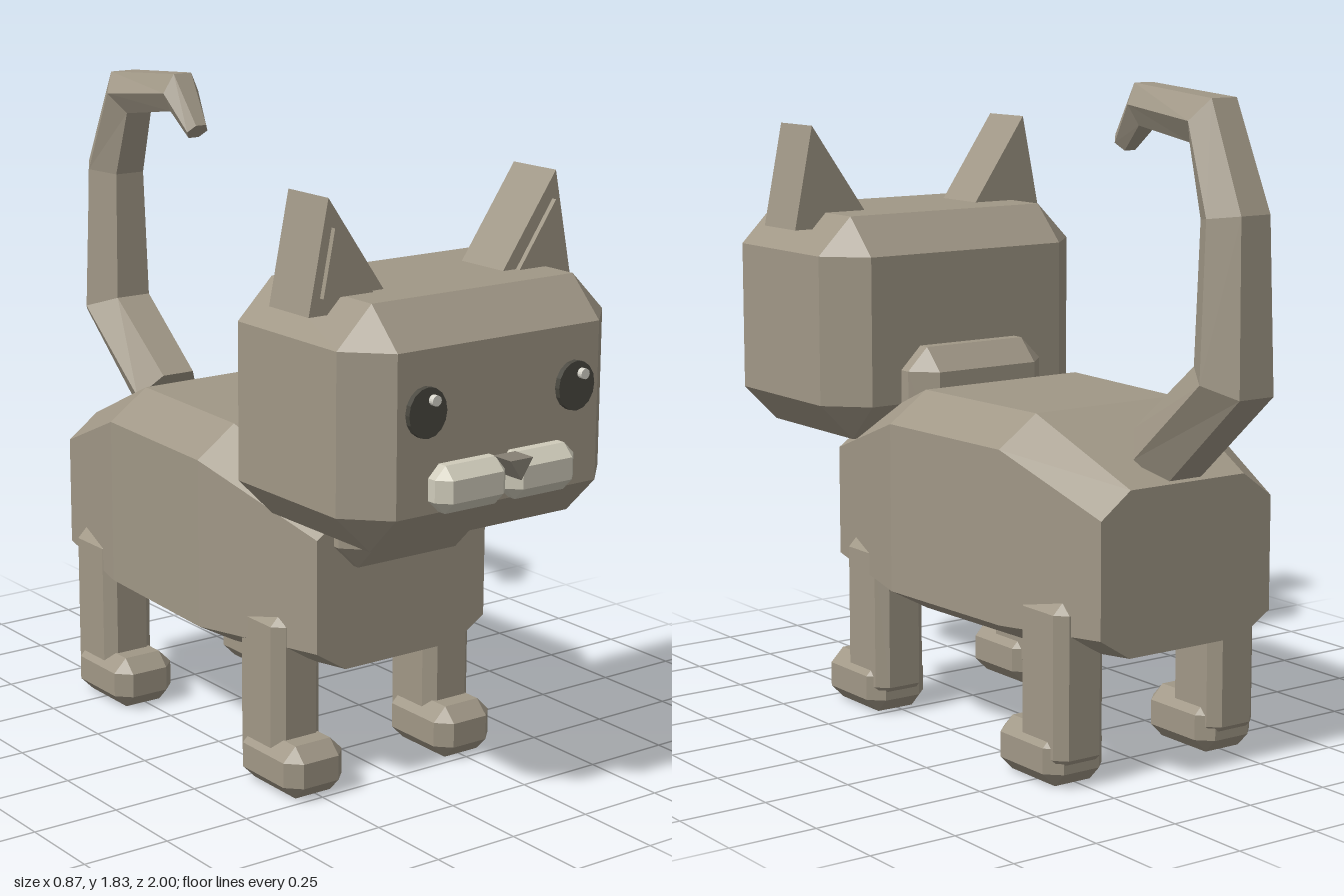
import * as THREE from 'three';
import { ConvexGeometry } from 'three/addons/geometries/ConvexGeometry.js';

const material = (name, color) => new THREE.MeshStandardMaterial({ name, color, flatShading: true });

// Box given by its limits, with all edges and corners cut by c
function chamferBox([x0, x1], [y0, y1], [z0, z1], c) {
  const half = [(x1 - x0) / 2, (y1 - y0) / 2, (z1 - z0) / 2];
  const points = [];
  for (const sx of [-1, 1]) for (const sy of [-1, 1]) for (const sz of [-1, 1]) {
    for (let axis = 0; axis < 3; axis++) {
      const p = half.map((h, i) => (i === axis ? h : h - c));
      points.push(new THREE.Vector3(sx * p[0], sy * p[1], sz * p[2]));
    }
  }
  return new ConvexGeometry(points).translate((x0 + x1) / 2, (y0 + y1) / 2, (z0 + z1) / 2);
}

// Flat polygon in xy, extruded from z0 to z1
function prism(corners, z0, z1) {
  const shape = new THREE.Shape(corners.map(([x, y]) => new THREE.Vector2(x, y)));
  return new THREE.ExtrudeGeometry(shape, { depth: z1 - z0, bevelEnabled: false }).translate(0, 0, z0);
}

// Octagonal sections: z, half width, half width of top and bottom, heights
function bodyGeometry() {
  const sections = [
    [0.52, 0.285, 0.19, 0.36, 0.42, 0.735, 0.8],
    [0.1, 0.38, 0.26, 0.335, 0.4, 0.875, 0.96],
    [-0.385, 0.355, 0.235, 0.335, 0.4, 0.875, 0.96],
    [-0.735, 0.285, 0.19, 0.36, 0.42, 0.735, 0.805],
  ];
  const points = [];
  for (const [z, w, n, bottom, low, high, top] of sections) {
    for (const s of [-1, 1]) {
      for (const [x, y] of [[n, bottom], [w, low], [w, high], [n, top]]) {
        points.push(new THREE.Vector3(s * x, y, z));
      }
    }
  }
  return new ConvexGeometry(points);
}

// Hexagonal rings: inner z, y, outer z, y, half width
function tailGeometry() {
  const rings = [
    [-0.575, 0.93, -0.7, 0.79, 0.105],
    [-0.82, 1.125, -1.0, 1.06, 0.112],
    [-0.83, 1.5, -0.987, 1.52, 0.095],
    [-0.775, 1.69, -0.86, 1.805, 0.082],
    [-0.555, 1.72, -0.535, 1.83, 0.06],
    [-0.48, 1.65, -0.44, 1.69, 0.035],
  ];
  const sides = 6, positions = [], index = [];
  for (const [iz, iy, oz, oy, w] of rings) {
    for (let k = 0; k < sides; k++) {
      const a = (k * Math.PI * 2) / sides;
      const s = Math.sin(a) / Math.sin(Math.PI / 3) / 2;
      positions.push(w * Math.cos(a), (iy + oy) / 2 + (oy - iy) * s, (iz + oz) / 2 + (oz - iz) * s);
    }
  }
  for (let i = 0; i < rings.length - 1; i++) {
    for (let k = 0; k < sides; k++) {
      const a = i * sides + k, b = i * sides + ((k + 1) % sides);
      index.push(a, b, b + sides, a, b + sides, a + sides);
    }
  }
  const last = (rings.length - 1) * sides;
  for (let k = 1; k < sides - 1; k++) {
    index.push(0, k + 1, k, last, last + k, last + k + 1);
  }
  const indexed = new THREE.BufferGeometry();
  indexed.setAttribute('position', new THREE.Float32BufferAttribute(positions, 3));
  indexed.setIndex(index);
  const geometry = indexed.toNonIndexed();
  geometry.computeVertexNormals();
  return geometry;
}

export function createModel() {
  const group = new THREE.Group();
  group.name = 'cat';
  const fur = material('fur', 0xa09786);
  const pale = material('paleMuzzle', 0xcfcbba);
  const dark = material('darkEye', 0x4a4840);
  const noseGrey = material('noseGrey', 0x868074);
  const shine = material('eyeShine', 0xd8d6cc);

  const add = (name, geometry, mat) => {
    const mesh = new THREE.Mesh(geometry, mat);
    mesh.name = name;
    group.add(mesh);
    return mesh;
  };
  const disc = (name, x, y, z, r, depth, mat) => {
    const geometry = new THREE.CylinderGeometry(r, r, depth, 16).rotateX(Math.PI / 2);
    const mesh = add(name, geometry, mat);
    mesh.position.set(x, y, z);
    return mesh;
  };

  // Trunk, neck, head and tail
  add('body', bodyGeometry(), fur);
  add('neck', chamferBox([-0.23, 0.23], [0.645, 1.055], [0.17, 0.605], 0.065), fur);
  add('head', chamferBox([-0.435, 0.435], [0.785, 1.425], [0.27, 0.91], 0.107), fur);
  add('tail', tailGeometry(), fur);

  for (const s of [-1, 1]) {
    const side = s > 0 ? 'left' : 'right';
    const span = (a, b) => (s > 0 ? [a, b] : [-b, -a]);

    // Legs and paws
    for (const [end, z] of [['Front', 0], ['Back', -0.855]]) {
      add(side + end + 'Leg', chamferBox(span(0.18, 0.34), [0.05, 0.5], [z + 0.22, z + 0.415], 0.03), fur);
      add(side + end + 'Paw', chamferBox(span(0.16, 0.355), [0, 0.15], [z + 0.235, z + 0.505], 0.04), fur);
    }

    // Ears with a raised inner triangle
    const flip = (corners) => corners.map(([x, y]) => [s * x, y]);
    add(side + 'Ear', prism(flip([[0.165, 1.38], [0.43, 1.38], [0.37, 1.675]]), 0.51, 0.68), fur);
    add(side + 'InnerEar', prism(flip([[0.24, 1.425], [0.395, 1.425], [0.36, 1.6]]), 0.67, 0.695), fur);

    // Eyes, both with the shine on the same side
    disc(side + 'Eye', s * 0.243, 1.16, 0.917, 0.06, 0.018, dark).scale.y = 1.1;
    disc(side + 'EyeShine', s * 0.243 + 0.015, 1.192, 0.932, 0.014, 0.02, shine);

    // Muzzle half
    add(side + 'Muzzle', chamferBox(span(0, 0.228), [0.895, 1.02], [0.86, 0.97], 0.033), pale);
  }

  add('nose', prism([[-0.037, 1.02], [0, 0.965], [0.037, 1.02]], 0.93, 1.0), noseGrey);
  return group;
}
